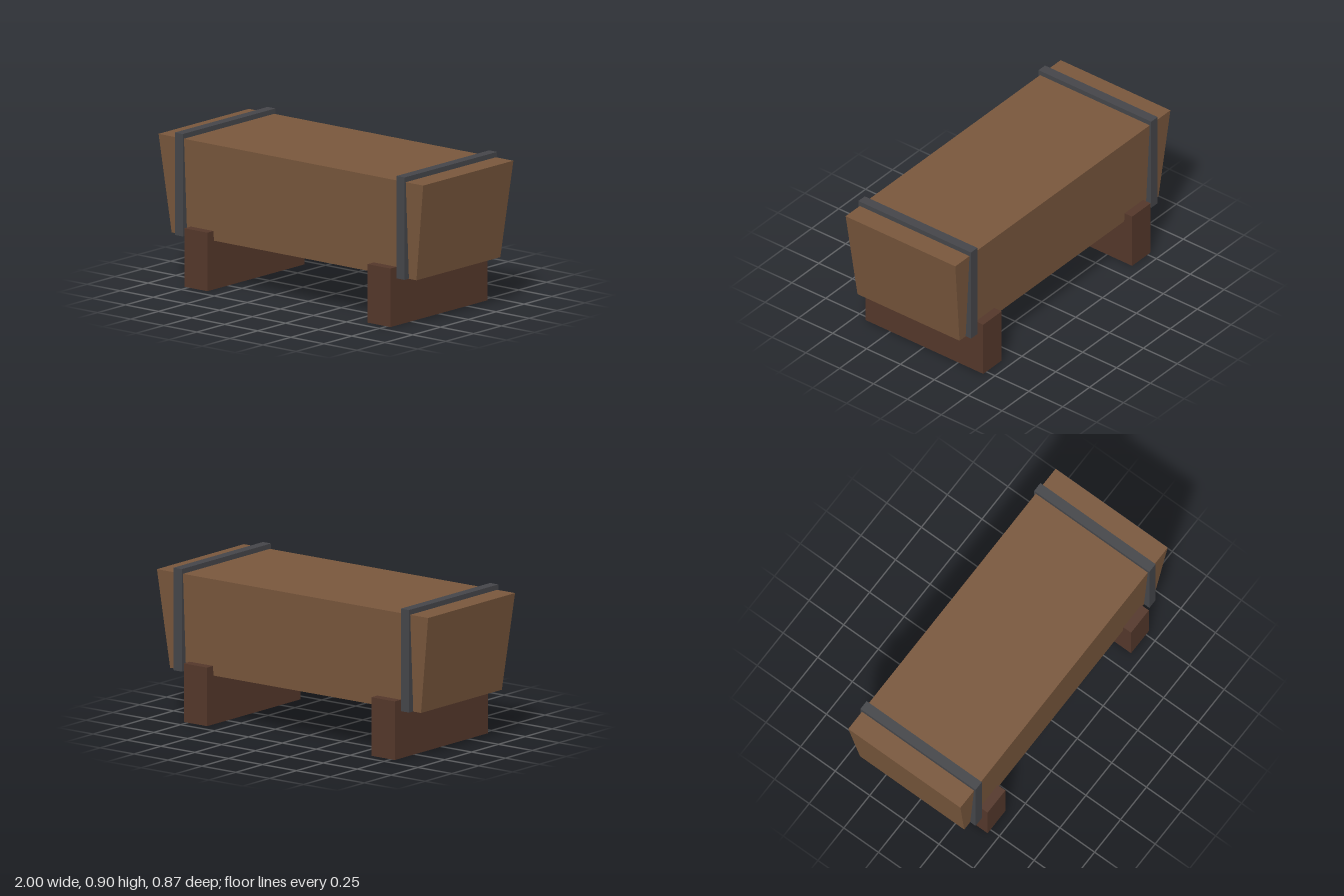
import * as THREE from 'three';

export function createModel() {
  const model = new THREE.Group();
  model.name = 'strappedTrunk';

  const material = (name, color) => {
    const m = new THREE.MeshStandardMaterial({ color });
    m.name = name;
    return m;
  };
  const wood = material('wood', 0x7a583d);
  const darkWood = material('darkWood', 0x55382b);
  const iron = material('iron', 0x45464a);

  // Adds a box spanning y0..y1, centred on z = 0
  const addBox = (name, mat, x, y0, y1, width, depth) => {
    const mesh = new THREE.Mesh(new THREE.BoxGeometry(width, y1 - y0, depth), mat);
    mesh.name = name;
    mesh.position.set(x, (y0 + y1) / 2, 0);
    model.add(mesh);
    return mesh;
  };

  // Body: a box narrowed towards its base
  const body = addBox('body', wood, 0, 0.29, 0.87, 2, 0.81);
  const p = body.geometry.attributes.position;
  for (let i = 0; i < p.count; i++) {
    if (p.getY(i) < 0) {
      p.setX(i, p.getX(i) * 0.925);
      p.setZ(i, p.getZ(i) * 0.93);
    }
  }
  body.geometry.computeVertexNormals();

  // Straps around the ends and cross beams underneath
  for (const [side, s] of [['left', 1], ['right', -1]]) {
    addBox(side + 'Strap', iron, s * 0.838, 0.291, 0.9, 0.06, 0.832);
    addBox(side + 'Foot', darkWood, s * 0.692, 0, 0.348, 0.172, 0.87);
  }

  return model;
}
